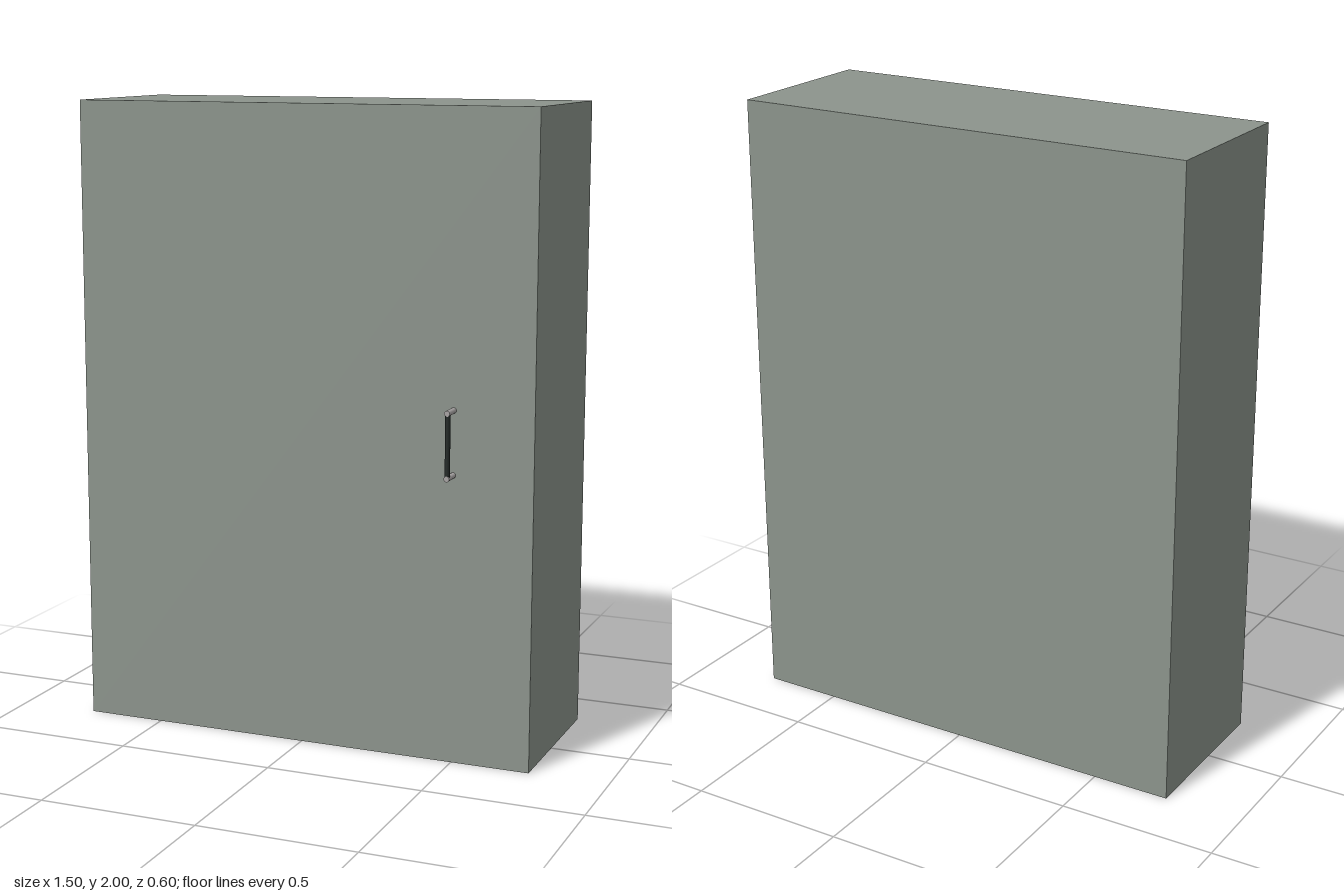
import * as THREE from 'three';

export function createModel() {
  const model = new THREE.Group();
  model.name = 'cabinet';

  const add = (parent, name, geometry, color, x, y, z) => {
    const mesh = new THREE.Mesh(geometry, new THREE.MeshStandardMaterial({ color }));
    mesh.name = name;
    mesh.position.set(x, y, z);
    parent.add(mesh);
    return mesh;
  };

  // Plain closed body
  const front = 0.24, back = -0.3;
  add(model, 'body', new THREE.BoxGeometry(1.5, 2, front - back), 0x8c948c, 0, 1, (front + back) / 2);

  // Pull handle: two round posts joined by a dark grip
  const handle = new THREE.Group();
  handle.name = 'handle';
  handle.position.set(0.497, 1.002, front);
  model.add(handle);

  const radius = 0.009, reach = 0.06, halfSpan = 0.099;
  for (const side of [1, -1]) {
    const post = add(handle, side > 0 ? 'upperPost' : 'lowerPost',
      new THREE.CylinderGeometry(radius, radius, reach, 16), 0xa8a4a4, 0, side * halfSpan, reach / 2);
    post.rotation.x = Math.PI / 2;
  }
  add(handle, 'grip', new THREE.CylinderGeometry(0.008, 0.008, halfSpan * 2, 16), 0x222826, 0, 0, reach - 0.009);

  return model;
}
